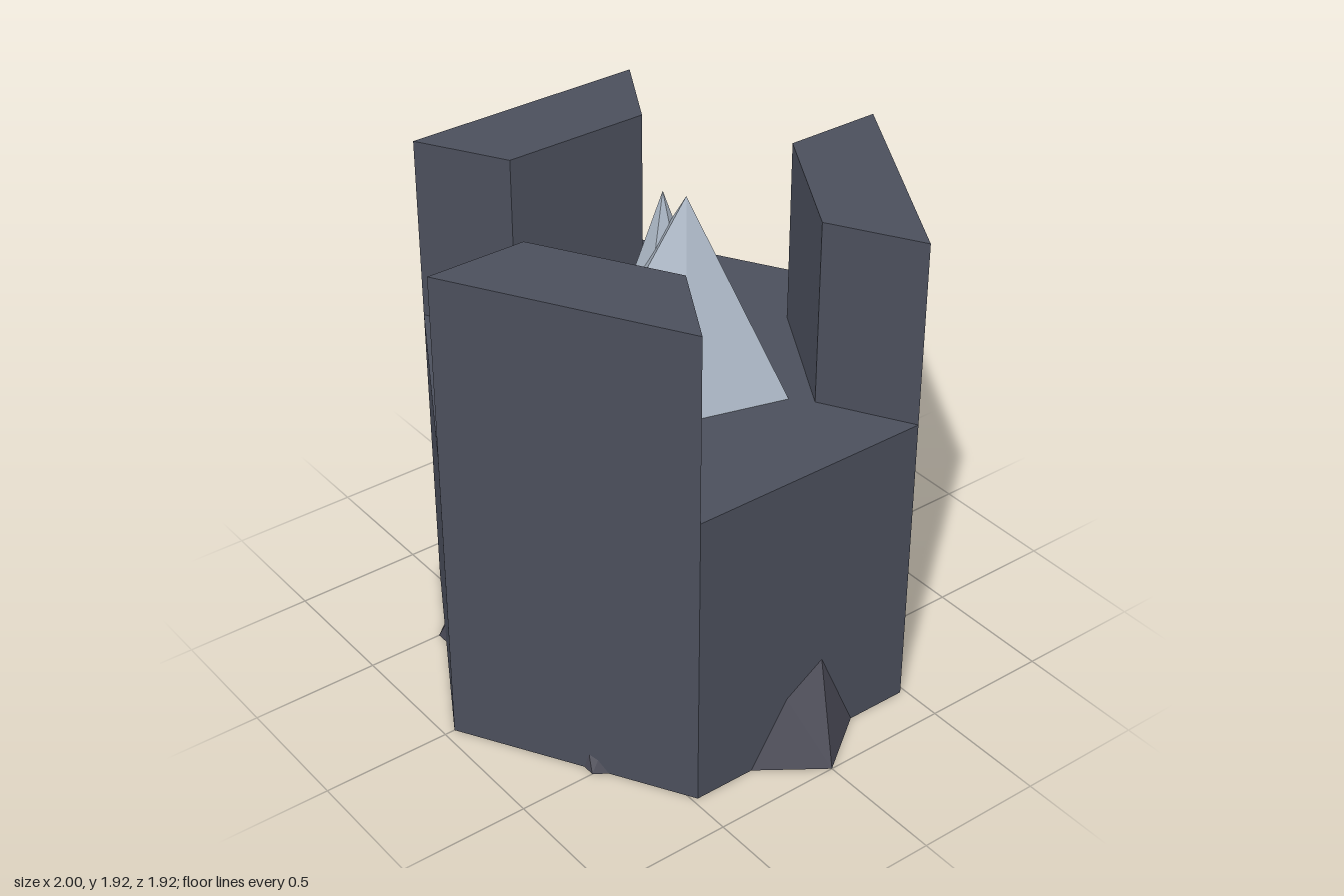
import * as THREE from 'three';

const R = 0.96, FLOOR = 1.2, TOP = 1.92;

function material(name, color) {
  const m = new THREE.MeshStandardMaterial({ color, flatShading: true, side: THREE.DoubleSide });
  m.name = name;
  return m;
}

// Unindexed surface from a list of triangles, each made of three points
function facets(triangles) {
  const g = new THREE.BufferGeometry();
  g.setAttribute('position', new THREE.Float32BufferAttribute(triangles.flat(2), 3));
  g.computeVertexNormals();
  return g;
}

export function createModel() {
  const group = new THREE.Group();
  const stone = material('slate stone', 0x4b4f5c);
  const rock = material('dark rock', 0x4a4a56);
  const ice = material('pale ice', 0xa9b4c2);

  const add = (name, geometry, mat) => {
    const mesh = new THREE.Mesh(geometry, mat);
    mesh.name = name;
    group.add(mesh);
    return mesh;
  };

  // Hexagonal tower, open underneath
  add('towerWall', new THREE.CylinderGeometry(R, R, FLOOR, 6, 1, true).translate(0, FLOOR / 2, 0), stone);
  add('towerFloor', new THREE.CircleGeometry(R, 6, Math.PI / 6).rotateX(-Math.PI / 2).translate(0, FLOOR, 0), stone);

  // Battlements on alternate sides: trapezoids between the outer and inner hexagon
  const inner = 0.58;
  const corner = (r, a) => new THREE.Vector2(r * Math.cos(a), r * Math.sin(a));
  const merlonShape = new THREE.Shape([
    corner(R, -Math.PI / 6), corner(R, Math.PI / 6),
    corner(inner, Math.PI / 6), corner(inner, -Math.PI / 6),
  ]);
  for (const angle of [Math.PI / 3, Math.PI, -Math.PI / 3]) {
    const g = new THREE.ExtrudeGeometry(merlonShape, { depth: TOP - FLOOR, bevelEnabled: false });
    g.rotateX(-Math.PI / 2).rotateY(angle).translate(0, FLOOR, 0);
    add('battlement', g, stone);
  }

  // Jagged peak: spreading rock foot, uneven shoulder ring, icy summit
  const foot = [[1, 0, 0], [0.5, 0, 0.7], [-0.5, 0, 0.7], [-1, 0, 0], [-0.5, 0, -0.7], [0.5, 0, -0.7]];
  const shoulder = [
    [0.47, 0.79, 0.25], [0, 1.01, 0.54], [-0.47, 0.79, 0.25],
    [-0.47, 1.1, -0.25], [0, 0.68, -0.54], [0.47, 1.12, -0.25],
  ];
  const summit = [0.08, TOP, -0.04];
  const lower = [], upper = [];
  for (let i = 0; i < 6; i++) {
    const j = (i + 1) % 6;
    lower.push([foot[i], shoulder[i], foot[j]], [foot[j], shoulder[i], shoulder[j]]);
    upper.push([shoulder[i], summit, shoulder[j]]);
  }
  add('rockFoot', facets(lower), rock);
  add('icePeak', facets(upper), ice);

  // Slender hollow spire piercing the peak
  add('iceSpire', new THREE.ConeGeometry(0.64, TOP, 6, 1, true)
    .rotateY(Math.PI / 6).translate(0, TOP / 2, 0), ice);

  return group;
}
